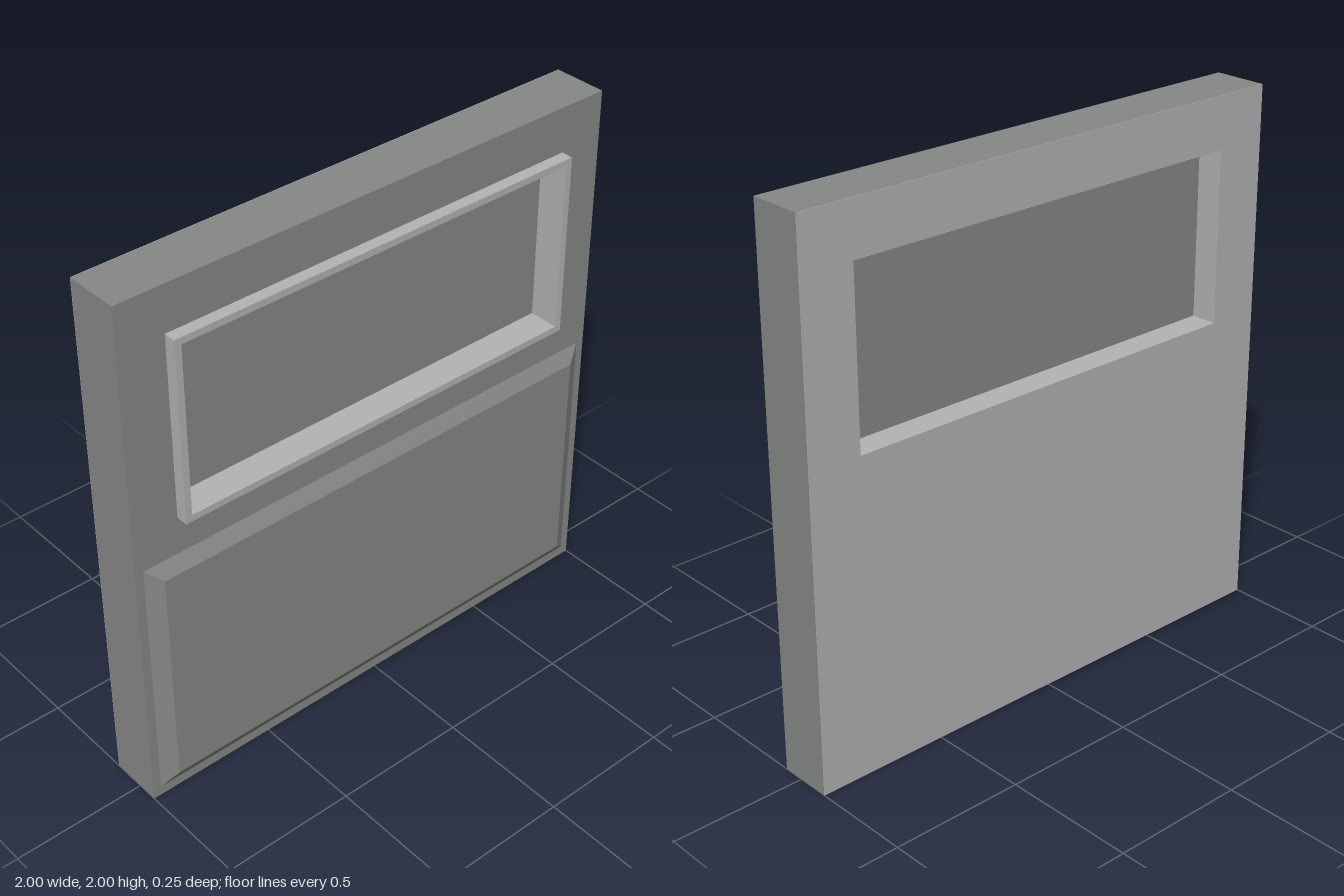
import * as THREE from 'three';

const dark = new THREE.MeshStandardMaterial({ color: 0x868886 });
dark.name = 'slate grey';
const light = new THREE.MeshStandardMaterial({ color: 0xb3b3b3 });
light.name = 'light grey';

// Rectangle corners from half width and vertical span
const rect = (w, y0, y1) => [[-w, y0], [w, y0], [w, y1], [-w, y1]].map(([x, y]) => new THREE.Vector2(x, y));

// Rectangular plate with a rectangular opening, spanning z0 to z1
function ring(name, outer, inner, z0, z1, material) {
  const shape = new THREE.Shape(outer);
  shape.holes.push(new THREE.Path(inner));
  const geo = new THREE.ExtrudeGeometry(shape, { depth: z1 - z0, bevelEnabled: false });
  geo.translate(0, 0, z0);
  const mesh = new THREE.Mesh(geo, material);
  mesh.name = name;
  return mesh;
}

export function createModel() {
  const model = new THREE.Group();
  model.name = 'doorPanel';

  const wall = rect(1, 0, 2);
  const frameOuter = rect(0.825, 1.14, 1.83);
  const opening = rect(0.8, 1.165, 1.805);

  // Slab, its pale rear skin, and the window frame that lines the opening
  model.add(ring('slab', wall, frameOuter, -0.123, 0.08, dark));
  model.add(ring('rearSkin', wall, opening, -0.125, -0.123, light));
  model.add(ring('windowFrame', frameOuter, opening, -0.123, 0.125, light));

  // Recessed pane
  const pane = new THREE.Mesh(new THREE.BoxGeometry(1.6, 0.64, 0.035), dark);
  pane.name = 'windowPane';
  pane.position.set(0, 1.485, -0.008);
  model.add(pane);

  // Raised lower panel: a box whose front face is inset to form the bevel
  const geo = new THREE.BoxGeometry(1.94, 0.965, 0.032);
  const p = geo.attributes.position;
  for (let i = 0; i < p.count; i++) {
    if (p.getZ(i) > 0) {
      p.setX(i, p.getX(i) - Math.sign(p.getX(i)) * 0.06);
      p.setY(i, p.getY(i) - Math.sign(p.getY(i)) * 0.055);
    }
  }
  geo.computeVertexNormals();
  const panel = new THREE.Mesh(geo, dark);
  panel.name = 'raisedLowerPanel';
  panel.position.set(0, 0.5175, 0.095);
  model.add(panel);

  return model;
}
